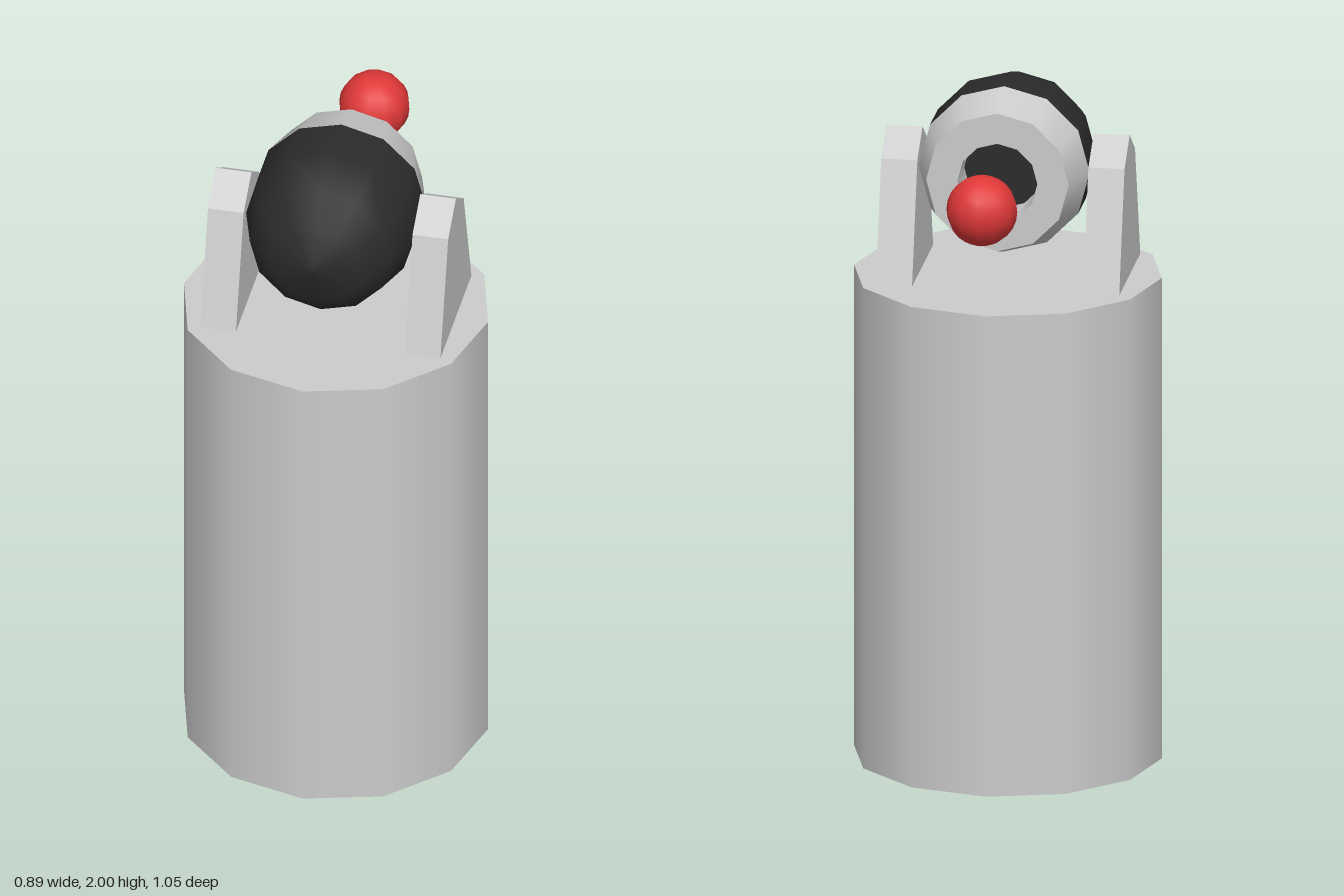
import * as THREE from 'three';

export function createModel() {
  const group = new THREE.Group();
  const material = (name, color) => {
    const m = new THREE.MeshStandardMaterial({ color });
    m.name = name;
    return m;
  };
  const grey = material('light grey', 0xcccccc);
  const black = material('charcoal black', 0x2b2b2b);
  const red = material('red', 0xe03838);

  const add = (name, geometry, mat, parent = group) => {
    const mesh = new THREE.Mesh(geometry, mat);
    mesh.name = name;
    parent.add(mesh);
    return mesh;
  };

  // Twelve-sided pedestal
  add('pedestal', new THREE.CylinderGeometry(0.443, 0.443, 1.43, 12), grey)
    .position.set(0, 0.715, 0.083);

  // Pair of tapered cheek brackets; shape is drawn in (-z, y) and turned sideways
  const profile = [[-0.29, 1.435], [0.12, 1.435], [0.017, 1.78], [-0.085, 1.85], [-0.188, 1.78]];
  const shape = new THREE.Shape(profile.map(([x, y]) => new THREE.Vector2(x, y)));
  const bracket = new THREE.ExtrudeGeometry(shape, { depth: 0.104, bevelEnabled: false });
  bracket.rotateY(Math.PI / 2);
  add('leftBracket', bracket, grey).position.x = 0.246;
  add('rightBracket', bracket, grey).position.x = -0.35;

  // Turret head, turned about the z axis: points are [radius, z]
  const head = new THREE.Group();
  head.name = 'head';
  head.position.y = 1.757;
  group.add(head);
  const turned = (name, points, mat) => {
    const g = new THREE.LatheGeometry(points.map(([r, z]) => new THREE.Vector2(r, z)), 12);
    g.rotateX(Math.PI / 2);
    add(name, g, mat, head);
  };
  turned('headDome', [[0.246, 0.01], [0.246, 0.155], [0.206, 0.288], [0.137, 0.353], [0, 0.391]], black);
  turned('holeFloor', [[0, 0.01], [0.115, 0.01]], black);
  turned('holeWall', [[0.115, 0.01], [0.115, -0.124]], grey);
  turned('rimFace', [[0.115, -0.124], [0.205, -0.124]], grey);
  turned('rimCollar', [[0.205, -0.124], [0.246, 0.01]], grey);

  // Floating ball behind the opening
  add('ball', new THREE.SphereGeometry(0.102, 12, 12), red).position.set(0, 1.765, -0.425);

  return group;
}
